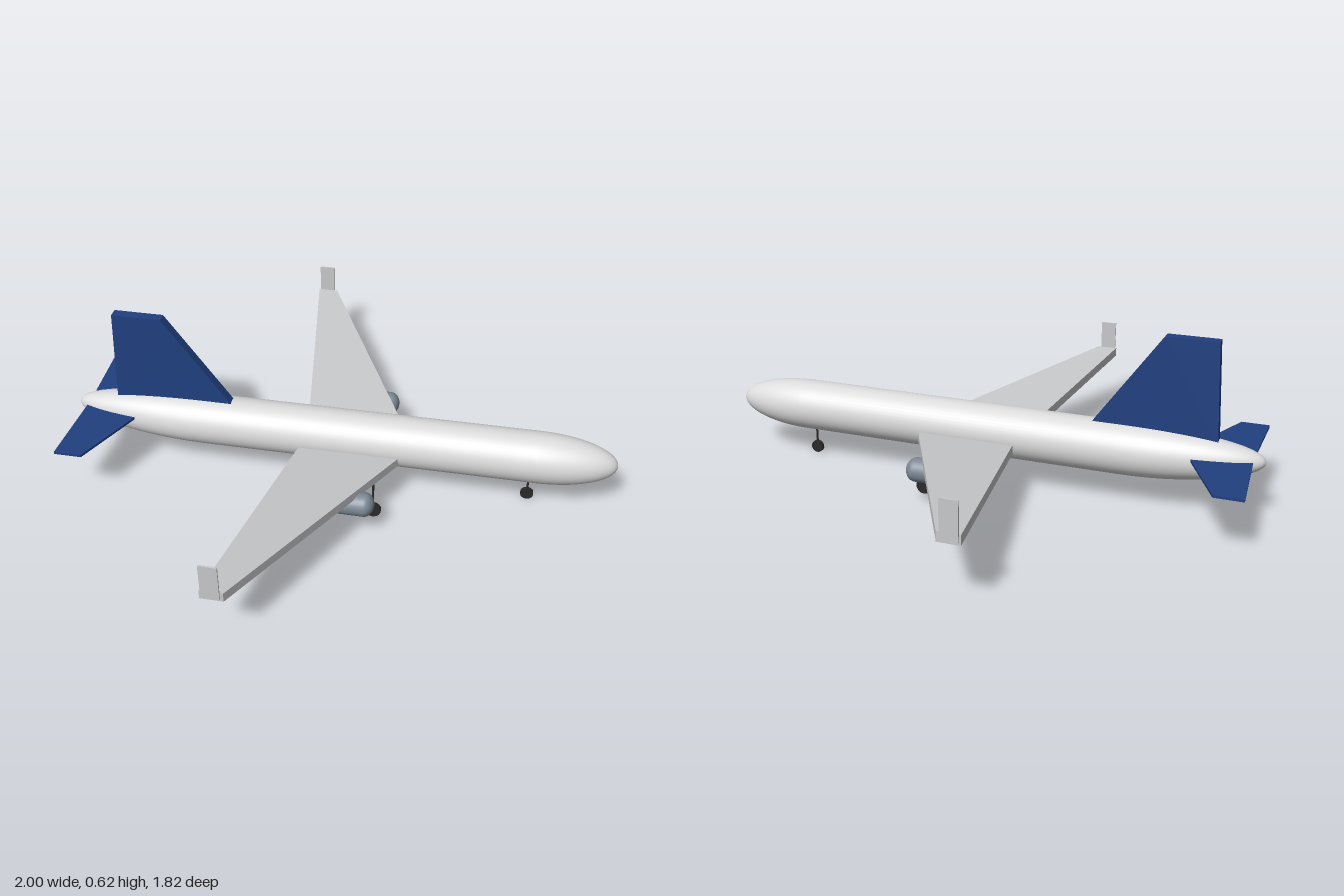
import * as THREE from 'three';

const paint = (name, color) => Object.assign(new THREE.MeshStandardMaterial({ color }), { name });

// Box reshaped into a swept panel: each station is [z, rear x, front x, bottom y]; side is +1 or -1
function panel(root, tip, thickness, side) {
  const g = new THREE.BoxGeometry(1, 1, 1);
  const p = g.attributes.position;
  for (let i = 0; i < p.count; i++) {
    const [z, rear, front, bottom] = p.getZ(i) * side > 0 ? tip : root;
    p.setXYZ(i, p.getX(i) > 0 ? front : rear, bottom + (p.getY(i) > 0 ? thickness : 0), z * side);
  }
  g.computeVertexNormals();
  return g;
}

// Body of revolution along x with elliptical caps at both ends
function roundedBody(rear, rearCap, front, frontCap, radius, segments) {
  const pts = [];
  const n = 14;
  for (let i = 0; i <= n; i++) {
    const a = (i / n) * Math.PI / 2;
    pts.push(new THREE.Vector2(radius * Math.sin(a), rear + rearCap * (1 - Math.cos(a))));
  }
  for (let i = 0; i <= n; i++) {
    const a = (i / n) * Math.PI / 2;
    pts.push(new THREE.Vector2(i === n ? 0 : radius * Math.cos(a), front - frontCap * (1 - Math.sin(a))));
  }
  return new THREE.LatheGeometry(pts, segments).rotateZ(-Math.PI / 2);
}

export function createModel() {
  const model = new THREE.Group();
  model.name = 'airplane';
  const bodyPaint = paint('body light grey', 0xdcdcdc);
  const wingPaint = paint('wing grey', 0xc8c9cb);
  const tailPaint = paint('tail blue', 0x204080);
  const enginePaint = paint('engine slate', 0x7c8894);
  const gearPaint = paint('gear black', 0x2a2a2c);

  const add = (name, geometry, material, parent = model) => {
    const mesh = new THREE.Mesh(geometry, material);
    mesh.name = name;
    parent.add(mesh);
    return mesh;
  };

  // Fuselage, with the tail cone swept slightly upward
  const hull = roundedBody(-1, 0.5, 1, 0.28, 0.094, 48);
  const p = hull.attributes.position;
  for (let i = 0; i < p.count; i++) {
    const t = Math.max(0, (-0.5 - p.getX(i)) / 0.5);
    p.setY(i, p.getY(i) + 0.197 + 0.017 * t * t);
  }
  add('fuselage', hull, bodyPaint);

  // Vertical fin
  const finShape = new THREE.Shape([[-0.84, 0.25], [-0.375, 0.25], [-0.64, 0.622], [-0.82, 0.622]]
    .map(([x, y]) => new THREE.Vector2(x, y)));
  const fin = new THREE.ExtrudeGeometry(finShape, { depth: 0.036, bevelEnabled: false });
  add('verticalFin', fin.translate(0, 0, -0.018), tailPaint);

  // Landing gear leg with wheel
  const gear = (name, x, z, radius, top) => {
    const group = new THREE.Group();
    group.name = name;
    group.position.set(x, 0, z);
    const strut = new THREE.CylinderGeometry(0.004, 0.004, top - radius, 8);
    add('strut', strut.translate(0, (top + radius) / 2, 0), gearPaint, group);
    const wheel = new THREE.CylinderGeometry(radius, radius, 0.012, 14);
    add('wheel', wheel.rotateX(Math.PI / 2).translate(0, radius, 0), gearPaint, group);
    model.add(group);
  };
  gear('noseGear', 0.697, 0, 0.024, 0.12);

  // Parts repeated on both sides
  for (const s of [1, -1]) {
    const side = s > 0 ? 'Front' : 'Back';
    add('wing' + side, panel([0.075, -0.133, 0.236, 0.15], [0.905, -0.262, -0.185, 0.223], 0.034, s), wingPaint);
    const winglet = new THREE.BoxGeometry(0.06, 0.135, 0.006);
    add('winglet' + side, winglet.translate(-0.226, 0.298, 0.907 * s), wingPaint);
    add('tailplane' + side, panel([0, -0.958, -0.724, 0.213], [0.325, -0.973, -0.873, 0.213], 0.009, s), tailPaint);
    const engine = roundedBody(0.025, 0.035, 0.178, 0.035, 0.043, 28);
    add('engine' + side, engine.translate(0, 0.138, 0.3 * s), enginePaint);
    gear('mainGear' + side, 0.158, 0.2 * s, 0.03, 0.17);
  }
  return model;
}
